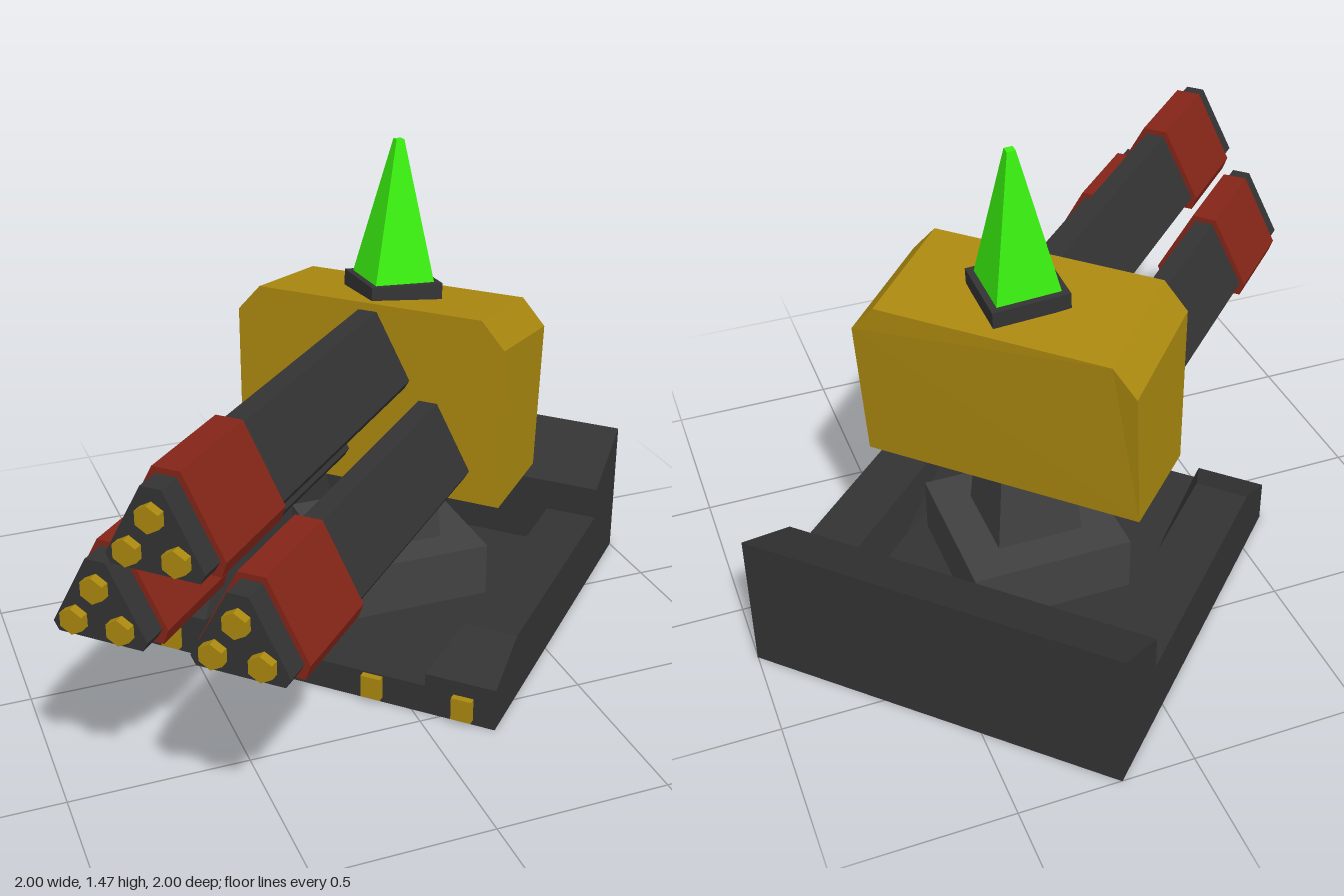
import * as THREE from 'three';

const mat = (color) => new THREE.MeshStandardMaterial({ color, flatShading: true, roughness: 0.8 });
const dark = mat(0x343334);
const grey = mat(0x414142);
const gold = mat(0xaa880f);
const red = mat(0x842417);
const green = mat(0x3af010);

function add(parent, name, geometry, material, x = 0, y = 0, z = 0) {
  const mesh = new THREE.Mesh(geometry, material);
  mesh.name = name;
  mesh.position.set(x, y, z);
  parent.add(mesh);
  return mesh;
}

// Extrude an outline along z from z0 to z1
function prism(points, z0, z1) {
  const shape = new THREE.Shape(points.map(([x, y]) => new THREE.Vector2(x, y)));
  return new THREE.ExtrudeGeometry(shape, { depth: z1 - z0, bevelEnabled: false }).translate(0, 0, z0);
}

// Extrude a side profile of (z, y) points across x, centred on x = 0
const sideProfile = (points, width) => prism(points, -width / 2, width / 2).rotateY(-Math.PI / 2);

// Move the vertices of a geometry by a rule
function reshape(geometry, rule) {
  const p = geometry.attributes.position;
  const v = new THREE.Vector3();
  for (let i = 0; i < p.count; i++) {
    rule(v.fromBufferAttribute(p, i));
    p.setXYZ(i, v.x, v.y, v.z);
  }
  geometry.computeVertexNormals();
  return geometry;
}

// Square block with a taper; turned 45 degrees to the turret axis
const taperedBlock = (topHalf, bottomHalf, height) =>
  new THREE.CylinderGeometry(topHalf * Math.SQRT2, bottomHalf * Math.SQRT2, height, 4);

// Triangular barrel section with blunted corners, widened by g
const barrelSection = (g) => [
  [-0.118 - g, -g], [0.118 + g, -g], [0.132 + g, 0.025],
  [0.028 + g * 0.6, 0.22 + g], [-0.028 - g * 0.6, 0.22 + g], [-0.132 - g, 0.025],
];

function makeBarrel(x, y, front) {
  const barrel = new THREE.Group();
  barrel.name = 'barrel';
  barrel.position.set(x, y, 0);
  add(barrel, 'barrelBody', prism(barrelSection(0), -0.2, front), dark);
  add(barrel, 'barrelBand', prism(barrelSection(0.016), front - 0.375, front - 0.07), red);
  for (const [mx, my] of [[-0.065, 0.05], [0.065, 0.05], [0, 0.15]]) {
    add(barrel, 'muzzle', new THREE.CylinderGeometry(0.036, 0.036, 0.05, 6).rotateX(Math.PI / 2),
      gold, mx, my, front);
  }
  return barrel;
}

export function createModel() {
  const model = new THREE.Group();
  model.name = 'turret';
  // The whole turret points diagonally to its front right
  const body = new THREE.Group();
  body.name = 'turretBody';
  body.rotation.y = -Math.PI / 4;
  model.add(body);

  // Base: low bed, wedge wall behind, raised rails at both sides
  add(body, 'bed', new THREE.BoxGeometry(0.8, 0.09, 1.0), dark, 0, 0.045, -0.19);
  add(body, 'rearWall', sideProfile(
    [[-0.856, 0], [-0.63, 0], [-0.63, 0.31], [-0.856, 0.43]], 1.12), dark);
  const railProfile = [[-0.64, 0], [0.31, 0], [0.31, 0.13], [0.14, 0.21], [-0.64, 0.21]];
  for (const side of [-1, 1]) {
    const rail = reshape(sideProfile(railProfile, 0.2), (v) => {
      v.x += side * 0.46;
      if (Math.abs(v.x) < 0.45) v.x = side * (v.y > 0.2 ? 0.4 : 0.35);
    });
    add(body, 'sideRail', rail, dark);
    for (const x of [0.19, 0.465]) {
      add(body, 'frontLamp', new THREE.BoxGeometry(0.06, 0.07, 0.04), gold, side * x, 0.05, 0.31);
    }
  }

  // Pivot
  add(body, 'pivotPlate', taperedBlock(0.235, 0.235, 0.18), grey, 0, 0.165, -0.24);
  add(body, 'pedestal', taperedBlock(0.108, 0.128, 0.26), grey, 0, 0.37, -0.24);
  for (const part of body.children.slice(-2)) part.rotation.y = Math.PI / 4 - Math.PI / 4;

  // Head: chamfered block whose roof falls and whose back leans outward
  const head = prism([
    [-0.415, 0.48], [0.415, 0.48], [0.415, 0.97], [0.345, 1.05], [-0.345, 1.05], [-0.415, 0.97],
  ], -0.445, -0.08);
  add(body, 'head', reshape(head, (v) => {
    if (v.z > -0.2) return;
    if (v.y < 0.6) v.z = -0.4;
    else v.y -= 0.055;
  }), gold);

  // Spike on the sloping roof
  const beacon = new THREE.Group();
  beacon.name = 'beacon';
  beacon.position.set(0, 1.02, -0.265);
  beacon.rotation.x = -0.08;
  body.add(beacon);
  add(beacon, 'beaconPlate', taperedBlock(0.11, 0.11, 0.05), dark, 0, 0.025, 0);
  add(beacon, 'beaconSpike', taperedBlock(0.012, 0.092, 0.41), green, 0, 0.25, 0);

  // Three barrels in a pyramid
  body.add(makeBarrel(-0.19, 0.555, 1.09), makeBarrel(0.19, 0.555, 1.09), makeBarrel(0, 0.807, 1.13));
  return model;
}
